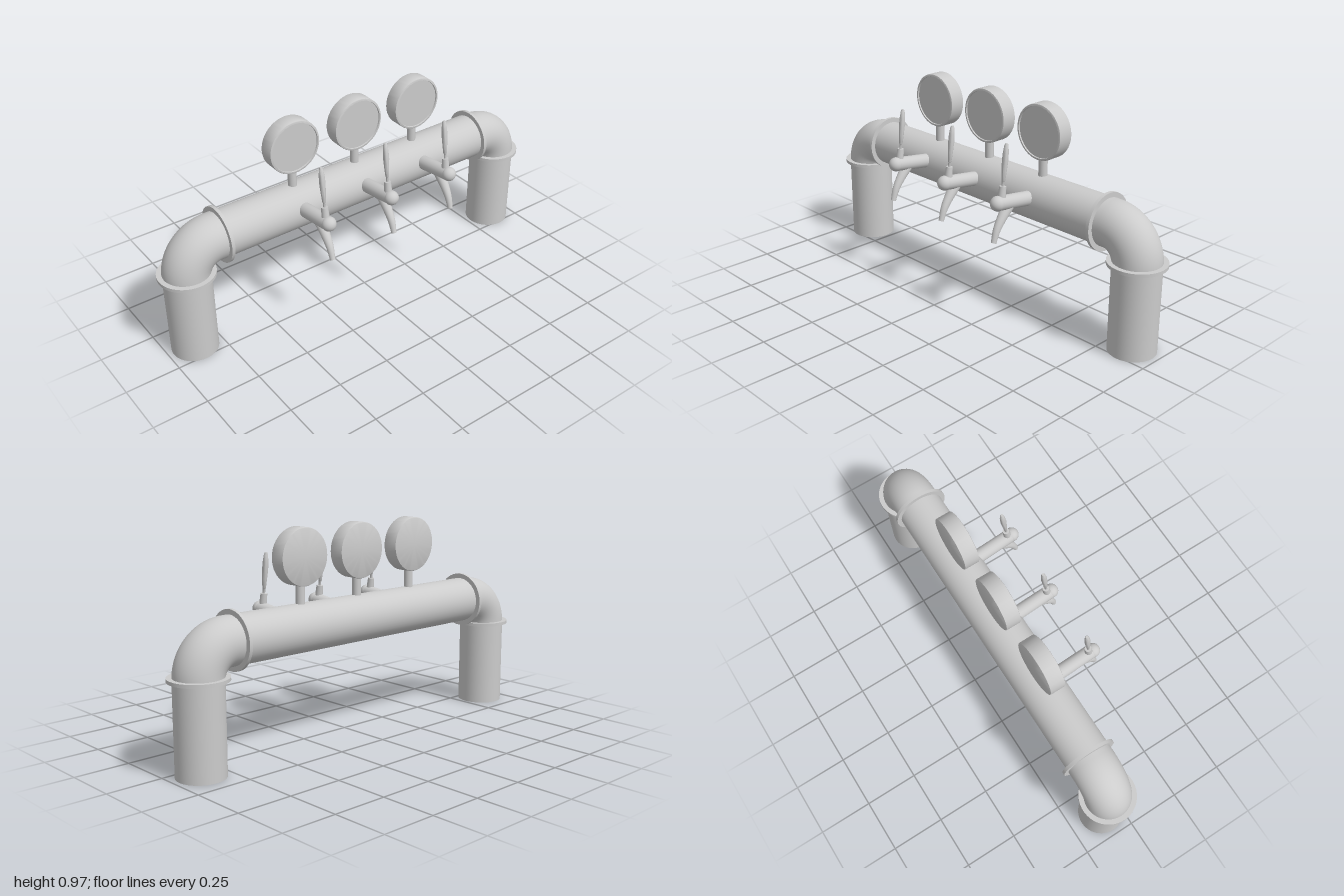
import * as THREE from 'three';
import { toCreasedNormals } from 'three/addons/utils/BufferGeometryUtils.js';

const material = new THREE.MeshStandardMaterial({ color: 0xcccccc });
const PIPE_R = 0.106, PIPE_Y = 0.535, LEG_X = 0.872, LEG_TOP = 0.4, BEND_R = PIPE_Y - LEG_TOP;
const AXIS_Z = -0.09;

function add(parent, name, geometry, x = 0, y = 0, z = 0) {
  const mesh = new THREE.Mesh(geometry, material);
  mesh.name = name;
  mesh.position.set(x, y, z);
  parent.add(mesh);
  return mesh;
}

// Turned solid from [radius, height] pairs, listed bottom to top
function turned(profile, segments = 32) {
  const points = profile.map(([r, h]) => new THREE.Vector2(r, h));
  return toCreasedNormals(new THREE.LatheGeometry(points, segments), 0.7);
}

// Cylinder stretched between two points in the plane x = 0
function rod(y0, z0, y1, z1, r0, r1) {
  const dy = y1 - y0, dz = z1 - z0;
  const geometry = new THREE.CylinderGeometry(r1, r0, Math.hypot(dy, dz), 24);
  geometry.rotateX(Math.atan2(dz, dy));
  return geometry.translate(0, (y0 + y1) / 2, (z0 + z1) / 2);
}

// Round tube along a curve, its radius running from r0 to r1, with a closed tip
function taperedTube(curve, r0, r1) {
  const rings = 16, sides = 20;
  const geometry = new THREE.TubeGeometry(curve, rings, 1, sides);
  const position = geometry.attributes.position;
  const v = new THREE.Vector3();
  for (let i = 0; i < position.count; i++) {
    const t = Math.floor(i / (sides + 1)) / rings;
    const centre = curve.getPointAt(t);
    v.fromBufferAttribute(position, i).sub(centre);
    v.multiplyScalar(THREE.MathUtils.lerp(r0, r1, t)).add(centre);
    position.setXYZ(i, v.x, v.y, v.z);
  }
  return geometry;
}

// Leg, elbow and two flanges on the +x end
function pipeEnd() {
  const end = new THREE.Group();
  const flange = new THREE.CylinderGeometry(0.128, 0.128, 0.015, 64);
  add(end, 'leg', new THREE.CylinderGeometry(PIPE_R, PIPE_R, LEG_TOP, 48), LEG_X, LEG_TOP / 2);
  add(end, 'legFlange', flange, LEG_X, 0.405);
  add(end, 'elbow', new THREE.TorusGeometry(BEND_R, PIPE_R, 48, 24, Math.PI / 2), LEG_X - BEND_R, LEG_TOP);
  add(end, 'barFlange', flange, 0.705, PIPE_Y).rotation.z = Math.PI / 2;
  return end;
}

// Round badge with a shallow recessed face, on a short post
function badge() {
  const group = new THREE.Group();
  const disc = turned([[0, -0.0365], [0.12, -0.0365], [0.1235, -0.035], [0.125, -0.0315], [0.125, 0.0315],
    [0.1235, 0.035], [0.12, 0.0365], [0.115, 0.0365], [0.114, 0.03], [0, 0.03]], 64);
  disc.rotateX(Math.PI / 2);
  add(group, 'badgeDisc', disc, 0, 0.842, AXIS_Z);
  add(group, 'badgePost', new THREE.CylinderGeometry(0.02, 0.02, 0.11, 24), 0, 0.675, AXIS_Z);
  return group;
}

// Faucet with body, spout and lever
function tap() {
  const group = new THREE.Group();
  add(group, 'tapBody', rod(0.552, -0.04, 0.584, 0.185, 0.033, 0.032));
  add(group, 'tapNose', new THREE.SphereGeometry(0.033, 24, 16), 0, 0.584, 0.186);

  const path = new THREE.CatmullRomCurve3([[0.56, 0.12], [0.515, 0.157], [0.465, 0.189], [0.41, 0.208]]
    .map(([y, z]) => new THREE.Vector3(0, y, z)));
  add(group, 'spout', taperedTube(path, 0.026, 0.012));
  const tip = add(group, 'spoutTip', new THREE.CircleGeometry(0.012, 20), 0, 0.41, 0.208);
  tip.quaternion.setFromUnitVectors(new THREE.Vector3(0, 0, 1), path.getTangentAt(1));

  add(group, 'leverCollar', rod(0.6, 0.163, 0.654, 0.156, 0.018, 0.015));
  const lever = turned([[0.006, 0], [0.006, 0.025], [0.008, 0.028], [0.011, 0.07], [0.0135, 0.115],
    [0.0125, 0.15], [0.009, 0.18], [0.006, 0.189], [0, 0.191]], 24);
  add(group, 'lever', lever, 0, 0.65, 0.157).rotation.x = -0.11;
  return group;
}

export function createModel() {
  const model = new THREE.Group();
  model.name = 'tapTower';

  // Horizontal bar
  const bar = new THREE.CylinderGeometry(PIPE_R, PIPE_R, 2 * (LEG_X - BEND_R), 48);
  add(model, 'bar', bar, 0, PIPE_Y, AXIS_Z).rotation.z = Math.PI / 2;

  // Matching ends
  for (const [name, turn] of [['leftEnd', 0], ['rightEnd', Math.PI]]) {
    const end = pipeEnd();
    end.name = name;
    end.position.z = AXIS_Z;
    end.rotation.y = turn;
    model.add(end);
  }

  // Three taps, each with a badge above
  for (const x of [-0.325, 0.01, 0.341]) {
    for (const [name, part] of [['tap', tap()], ['badge', badge()]]) {
      part.name = name;
      part.position.x = x;
      model.add(part);
    }
  }
  return model;
}
